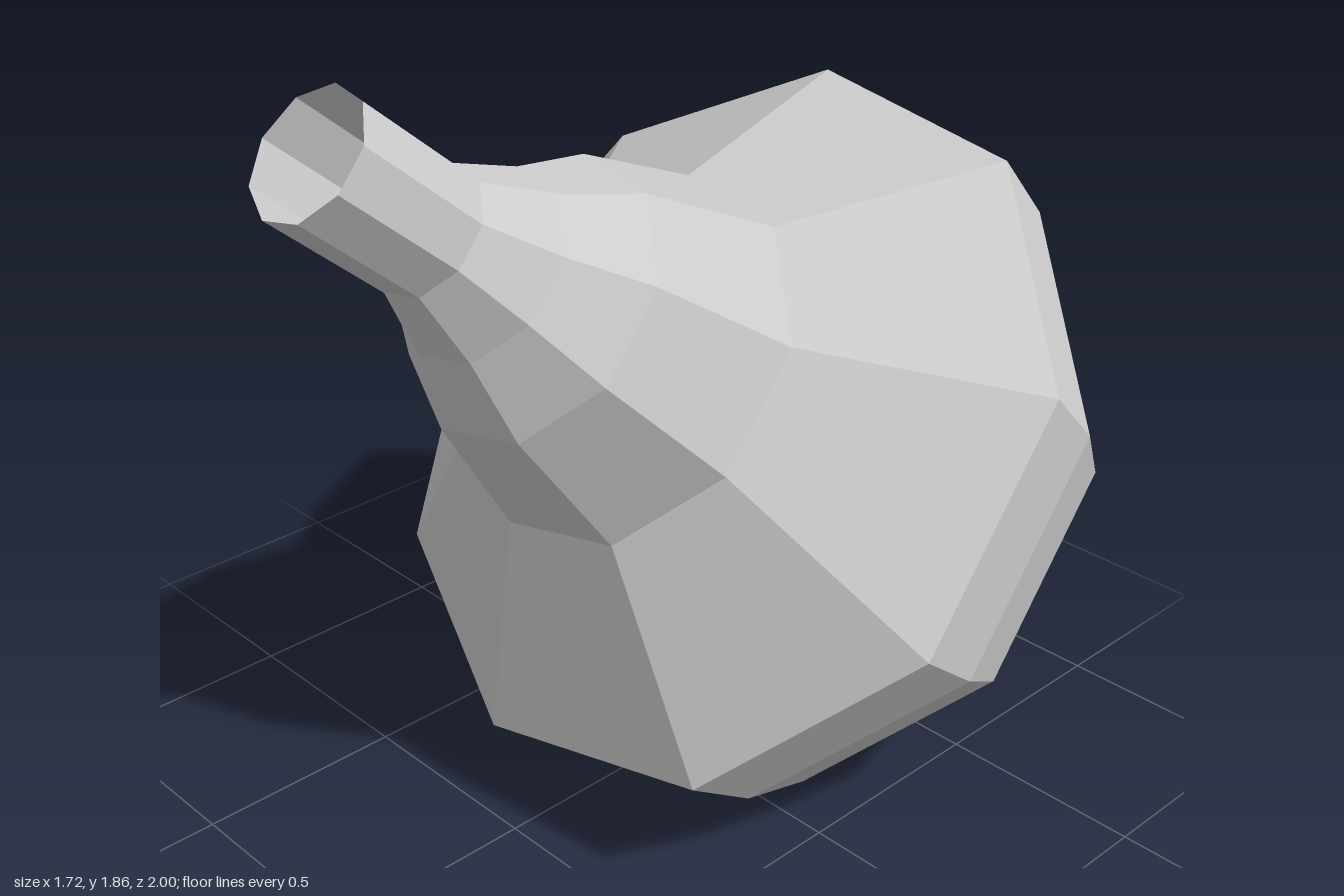
import * as THREE from 'three';

const SIDES = 9;
const TWIST = THREE.MathUtils.degToRad(-8.5);

export function createModel() {
  const group = new THREE.Group();
  const material = new THREE.MeshStandardMaterial({
    color: 0xcccccc, flatShading: true, side: THREE.DoubleSide,
  });

  // Nine-sided turned part; profile runs [radius, height along the axis]
  const turned = (name, profile) => {
    const points = profile.map(([r, y]) => new THREE.Vector2(r, y));
    const mesh = new THREE.Mesh(
      new THREE.LatheGeometry(points, SIDES, TWIST, Math.PI * 2), material);
    mesh.name = name;
    return mesh;
  };

  const body = new THREE.Group();
  body.name = 'body';
  body.add(
    // Rounded closed back
    turned('dome', [[0, -0.9], [0.41, -0.8], [0.585, -0.68], [0.765, -0.45], [0.855, -0.22], [0.885, 0]]),
    // Wide sloping front of the bulb
    turned('shoulder', [[0.885, 0], [0.44, 0.34]]),
    // Tapering neck, open at the tip
    turned('neck', [[0.44, 0.34], [0.33, 0.67], [0.22, 0.835], [0.147, 1.0], [0.147, 1.335]]),
  );

  // Lean the axis forward, with a slight tilt to one side
  body.rotation.set(THREE.MathUtils.degToRad(49.4), 0, 0.026);
  body.position.set(0.02, 0.885, -0.105);
  group.add(body);
  return group;
}
